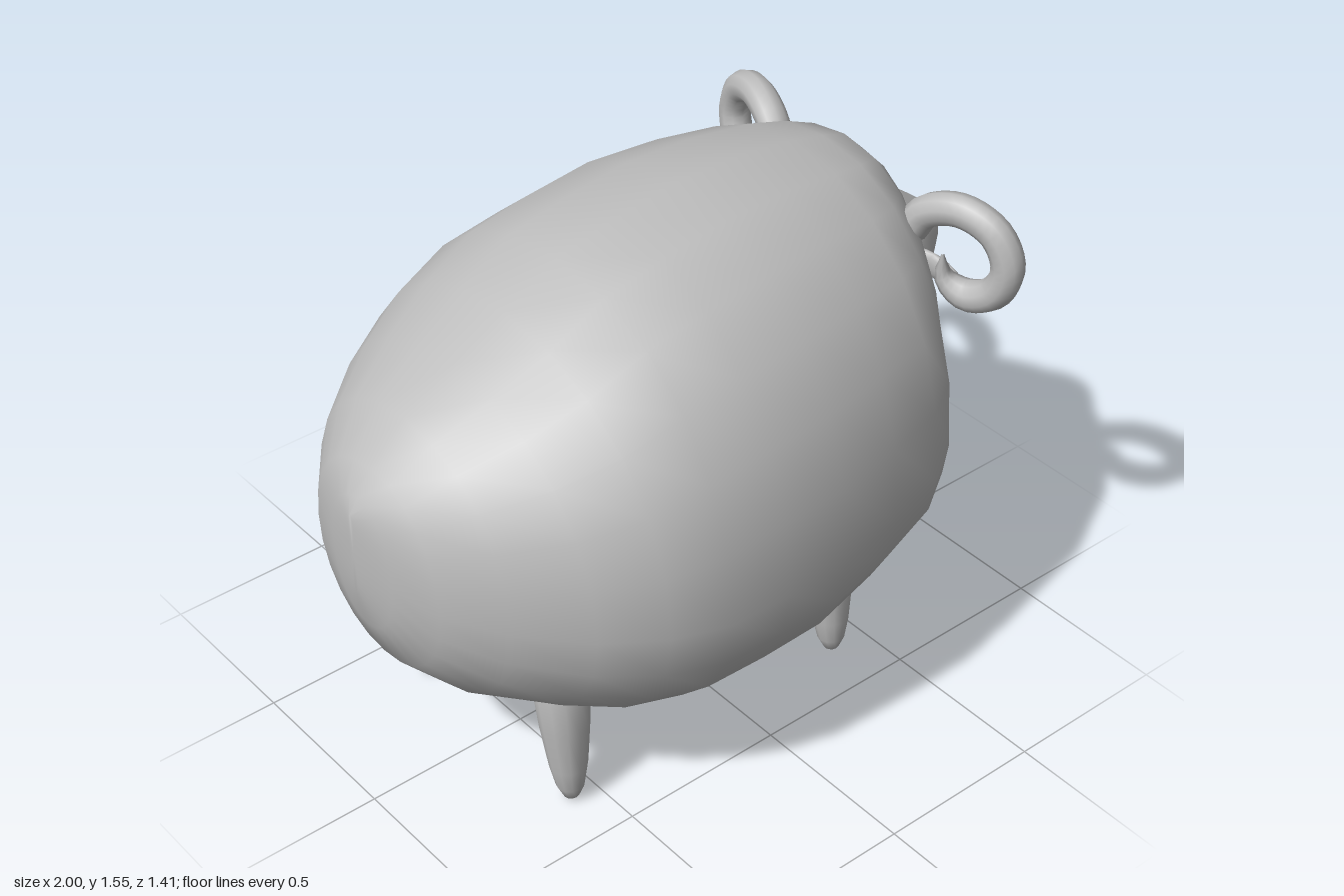
import * as THREE from 'three';

const wool = new THREE.MeshStandardMaterial({ color: 0xbcbcbc });
wool.name = 'plain grey';

// Closed loft along x. Each ring: [x, bottom, widest height, top, half width]
function loft(rings, sides, power) {
  const pos = [], idx = [];
  const bend = v => Math.sign(v) * Math.pow(Math.abs(v), 2 / power);
  for (const [x, b, m, t, w] of rings) {
    for (let j = 0; j < sides; j++) {
      const a = (j / sides) * Math.PI * 2;
      const s = bend(Math.sin(a));
      pos.push(x, m + s * (s > 0 ? t - m : m - b), w * bend(Math.cos(a)));
    }
  }
  for (let i = 0; i < rings.length - 1; i++) {
    for (let j = 0; j < sides; j++) {
      const a = i * sides + j, c = i * sides + (j + 1) % sides;
      idx.push(a, a + sides, c, a + sides, c + sides, c);
    }
  }
  // end caps
  const first = rings[0], last = rings[rings.length - 1];
  const n = rings.length * sides, base = n - sides;
  pos.push(first[0], first[2], 0, last[0], last[2], 0);
  for (let j = 0; j < sides; j++) {
    const k = (j + 1) % sides;
    idx.push(n, j, k, n + 1, base + k, base + j);
  }
  const g = new THREE.BufferGeometry();
  g.setAttribute('position', new THREE.Float32BufferAttribute(pos, 3));
  g.setIndex(idx);
  g.computeVertexNormals();
  return g;
}

// Tube whose radius follows a rule along its length
function taperedTube(points, radiusAt, steps, sides) {
  const curve = new THREE.CatmullRomCurve3(points);
  const g = new THREE.TubeGeometry(curve, steps, 1, sides);
  const p = g.attributes.position, v = new THREE.Vector3();
  for (let i = 0; i <= steps; i++) {
    const c = curve.getPointAt(i / steps);
    for (let j = 0; j <= sides; j++) {
      const k = i * (sides + 1) + j;
      v.fromBufferAttribute(p, k).sub(c).multiplyScalar(radiusAt(i / steps)).add(c);
      p.setXYZ(k, v.x, v.y, v.z);
    }
  }
  return g;
}

export function createModel() {
  const model = new THREE.Group();
  model.name = 'sheep';
  const add = (name, geometry, parent = model) => {
    const mesh = new THREE.Mesh(geometry, wool);
    mesh.name = name;
    parent.add(mesh);
    return mesh;
  };

  // Woolly body
  add('body', loft([
    [-1.0, 0.74, 0.86, 0.99, 0.015],
    [-0.975, 0.62, 0.82, 1.03, 0.13],
    [-0.93, 0.5, 0.79, 1.1, 0.27],
    [-0.82, 0.39, 0.77, 1.205, 0.42],
    [-0.66, 0.31, 0.75, 1.295, 0.565],
    [-0.5, 0.24, 0.74, 1.385, 0.66],
    [-0.33, 0.2, 0.72, 1.48, 0.7],
    [-0.14, 0.197, 0.72, 1.52, 0.705],
    [0.06, 0.207, 0.72, 1.548, 0.703],
    [0.28, 0.26, 0.72, 1.545, 0.66],
    [0.47, 0.335, 0.74, 1.52, 0.615],
    [0.58, 0.38, 0.77, 1.495, 0.55],
    [0.66, 0.412, 0.81, 1.47, 0.44],
    [0.73, 0.49, 0.83, 1.4, 0.32],
    [0.78, 0.555, 0.84, 1.28, 0.23],
    [0.82, 0.65, 0.86, 1.1, 0.13],
    [0.84, 0.8, 0.87, 0.95, 0.03],
  ], 24, 2.1));

  // Wedge-shaped face
  add('head', loft([
    [0.6, 1.0, 1.12, 1.27, 0.24],
    [0.7, 0.975, 1.12, 1.29, 0.258],
    [0.77, 0.945, 1.11, 1.275, 0.235],
    [0.83, 0.928, 1.1, 1.235, 0.2],
    [0.93, 0.99, 1.1, 1.17, 0.12],
    [0.97, 1.03, 1.1, 1.14, 0.078],
    [0.995, 1.065, 1.1, 1.115, 0.03],
  ], 16, 2.5));

  // Curled horn path as [z, y]; its plane leans outward and forward
  const hornPath = [[0.27, 1.3], [0.31, 1.365], [0.41, 1.402], [0.51, 1.365], [0.552, 1.275],
    [0.52, 1.185], [0.44, 1.148], [0.375, 1.18], [0.365, 1.25]];
  const hornRadius = t => t > 0.75 ? 0.047 * Math.max(0.08, 1 - Math.pow((t - 0.75) / 0.25, 2)) : 0.047;

  // Leg profile, round-tipped
  const legProfile = [[0, 0], [0.022, 0.012], [0.04, 0.05], [0.054, 0.12], [0.07, 0.26], [0.078, 0.38], [0.06, 0.46], [0, 0.48]]
    .map(([r, y]) => new THREE.Vector2(r, y));

  for (const side of [1, -1]) {
    const points = hornPath.map(([z, y]) => new THREE.Vector3(0.705 + 0.3 * (z - 0.4), y, side * z));
    add('horn', taperedTube(points, hornRadius, 32, 10));

    // Small drooping leaf-shaped ear
    const earGeometry = new THREE.SphereGeometry(1, 12, 8);
    earGeometry.scale(0.018, 0.04, 0.085);
    const ear = add('ear', earGeometry);
    ear.position.set(0.73, 1.165, side * 0.315);
    ear.rotation.set(side * 0.5, side * 0.35, 0);

    for (const [name, x] of [['frontLeg', 0.38], ['backLeg', -0.58]]) {
      const leg = add(name, new THREE.LatheGeometry(legProfile, 12));
      leg.position.set(x, 0, side * 0.337);
      leg.rotation.x = -side * 0.09;
    }
  }
  return model;
}
